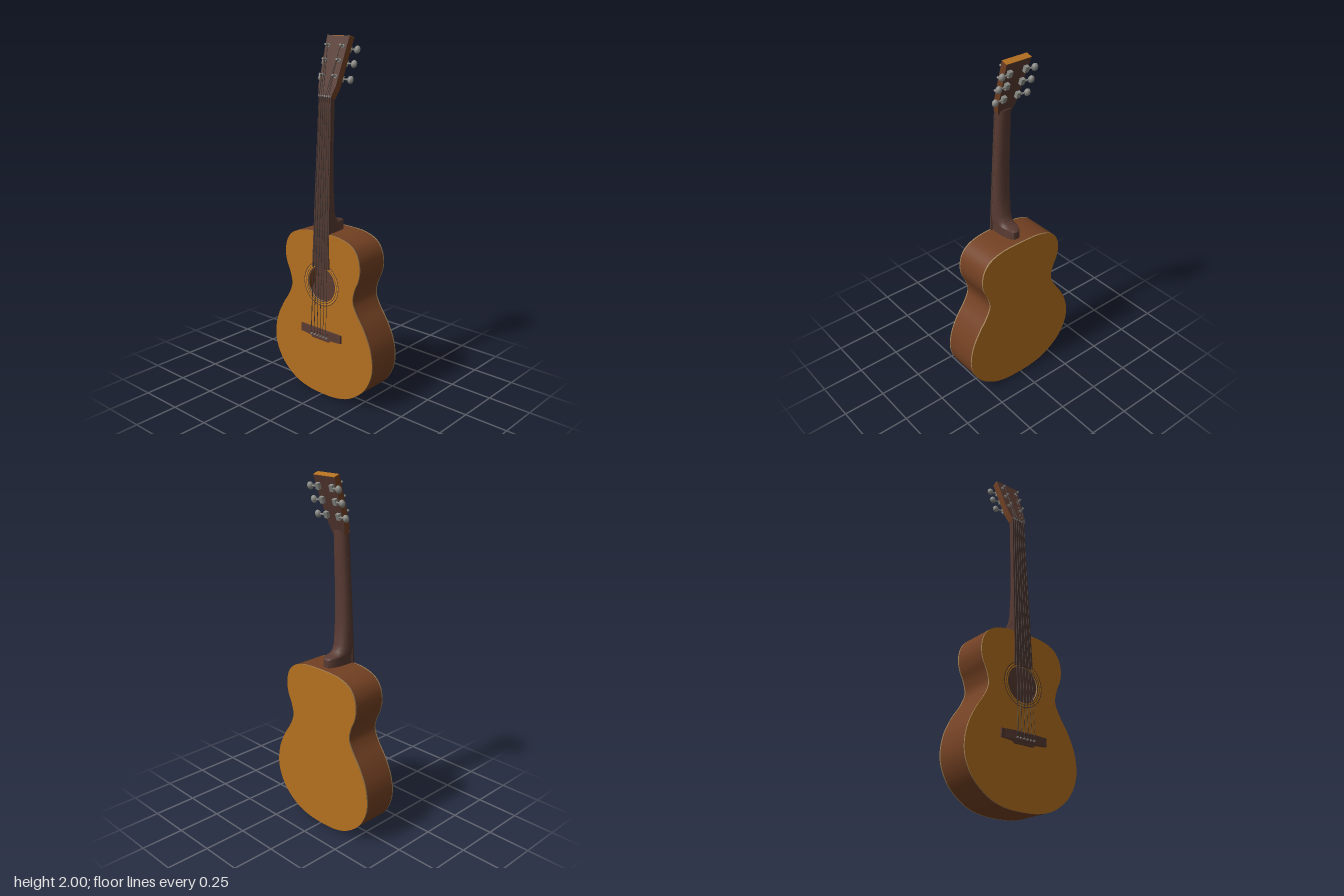
import * as THREE from 'three';
import { toCreasedNormals } from 'three/addons/utils/BufferGeometryUtils.js';

const mat = (name, color) => {
  const m = new THREE.MeshStandardMaterial({ color });
  m.name = name;
  return m;
};

export function createModel() {
  const model = new THREE.Group();
  model.name = 'guitar';

  const topWood = mat('honey wood', 0xb47020);
  const sideWood = mat('brown side wood', 0x724022);
  const neckWood = mat('dark neck wood', 0x583a32);
  const boardWood = mat('fretboard wood', 0x50362f);
  const inlay = mat('rosette orange', 0xc88220);
  const binding = mat('edge binding', 0x9c8058);
  const metal = mat('grey metal', 0x8a8a86);
  const stringMetal = mat('dark string', 0x3c3532);

  const add = (name, geometry, material, parent = model, pos = [0, 0, 0]) => {
    const mesh = new THREE.Mesh(geometry, material);
    mesh.name = name;
    mesh.position.set(...pos);
    parent.add(mesh);
    return mesh;
  };

  // Thin rod between two points
  const rod = (name, a, b, r, material, parent = model, sides = 6) => {
    const p = new THREE.Vector3(...a), q = new THREE.Vector3(...b);
    const dir = q.clone().sub(p);
    const mesh = add(name, new THREE.CylinderGeometry(r, r, dir.length(), sides), material, parent);
    mesh.position.copy(p).add(q).multiplyScalar(0.5);
    mesh.quaternion.setFromUnitVectors(new THREE.Vector3(0, 1, 0), dir.normalize());
    return mesh;
  };

  // Body outline: right half as a smooth curve, then mirrored
  const toPoints = (list) => list.map(([x, y]) => new THREE.Vector2(x, y));
  const half = toPoints([
    [0, 0.002], [0.1, 0.008], [0.2, 0.037], [0.295, 0.107], [0.348, 0.193], [0.364, 0.28],
    [0.347, 0.38], [0.302, 0.475], [0.252, 0.55], [0.224, 0.618], [0.236, 0.685],
    [0.262, 0.745], [0.272, 0.81], [0.255, 0.88], [0.208, 0.93], [0.12, 0.957], [0, 0.962],
  ]);
  const right = new THREE.SplineCurve(half).getPoints(64);
  const left = right.slice(1, -1).reverse().map((p) => new THREE.Vector2(-p.x, p.y));
  const outline = (s = 1) => new THREE.Shape([...right, ...left].map(
    (p) => new THREE.Vector2(p.x * s, 0.45 + (p.y - 0.45) * s)));
  const slab = (shape, z0, z1) => {
    const g = new THREE.ExtrudeGeometry(shape, { depth: z1 - z0, bevelEnabled: false, curveSegments: 40 });
    return toCreasedNormals(g.translate(0, 0, z0), 0.6);
  };

  // Hollow body: side wall, back and top plates with binding on their rims
  const HOLE_Y = 0.667;
  const wall = outline();
  wall.holes.push(outline(0.97));
  add('bodySides', slab(wall, -0.112, 0.083), sideWood);
  add('backPlate', slab(outline(), -0.12, -0.112), [topWood, binding]);
  add('backLining', slab(outline(0.98), -0.112, -0.106), neckWood);
  add('backBrace', new THREE.BoxGeometry(0.44, 0.012, 0.012), neckWood, model, [0, 0.605, -0.1]);
  const topShape = outline();
  topShape.holes.push(new THREE.Path().absarc(0, HOLE_Y, 0.097, 0, Math.PI * 2, true));
  add('topPlate', slab(topShape, 0.083, 0.09), [topWood, binding]);

  // Rosette rings round the sound hole
  [[0.097, 0.102, neckWood], [0.102, 0.109, inlay], [0.109, 0.113, neckWood],
    [0.113, 0.122, inlay], [0.122, 0.127, neckWood]].forEach(([a, b, m]) =>
    add('rosetteRing', new THREE.RingGeometry(a, b, 56), m, model, [0, HOLE_Y, 0.0912]));

  // Fretboard plane: front surface depth and half width by height
  const NUT_Y = 1.695, END_Y = 0.765;
  const along = (y) => (y - END_Y) / (NUT_Y - END_Y);
  const frontZ = (y) => THREE.MathUtils.lerp(0.099, 0.058, along(y));
  const halfW = (y) => THREE.MathUtils.lerp(0.06, 0.043, along(y));

  // Loft of rings stacked in y (clockwise from above), closed at both ends
  const loft = (rings, crease) => {
    const n = rings[0].length, idx = [];
    for (let i = 0; i < rings.length - 1; i++) {
      for (let j = 0; j < n; j++) {
        const a = i * n + j, b = i * n + (j + 1) % n;
        idx.push(a, a + n, b, b, a + n, b + n);
      }
    }
    const last = (rings.length - 1) * n;
    for (let j = 1; j < n - 1; j++) {
      idx.push(0, j, j + 1, last, last + j + 1, last + j);
    }
    const g = new THREE.BufferGeometry();
    g.setAttribute('position', new THREE.Float32BufferAttribute(rings.flat(2), 3));
    g.setIndex(idx);
    return toCreasedNormals(g, crease);
  };

  // Neck and heel: D-shaped sections; [height, back depth, width factor]
  const neckRings = [
    [0.95, -0.08, 0.86], [1.005, -0.08, 0.86], [1.014, -0.07, 0.88], [1.02, -0.03, 0.92],
    [1.035, -0.005, 0.96], [1.07, 0.012, 1], [1.2, 0.023, 1], [1.4, 0.022, 1],
    [1.6, 0.012, 1], [1.7, 0.008, 1],
  ].map(([y, zb, f]) => {
    const zf = frontZ(y) - 0.008, w = halfW(y) * f, ring = [];
    for (let k = 12; k >= 0; k--) {
      const t = (k / 12) * Math.PI, c = Math.cos(t), s = Math.sin(t);
      ring.push([Math.sign(c) * Math.abs(c) ** 0.7 * w, y, zf + (zb - zf) * s ** 0.8]);
    }
    return ring;
  });
  add('neck', loft(neckRings, 0.6), neckWood);

  // Fretboard: tapered slab along the neck
  const boardRings = [END_Y, NUT_Y].map((y) => {
    const z = frontZ(y), w = halfW(y);
    return [[-w, y, z], [-w, y, z - 0.013], [w, y, z - 0.013], [w, y, z]];
  });
  add('fretboard', loft(boardRings, 0.3), boardWood);

  // Frets at equal-tempered spacing
  const scale = NUT_Y - 0.39;
  for (let i = 1; i <= 19; i++) {
    const y = 0.39 + scale / 2 ** (i / 12);
    if (y < END_Y + 0.01) break;
    add('fret', new THREE.BoxGeometry(halfW(y) * 2, 0.003, 0.003), stringMetal, model, [0, y, frontZ(y)]);
  }
  add('nut', new THREE.BoxGeometry(0.086, 0.008, 0.012), metal, model, [0, NUT_Y, 0.056]);

  // Headstock, tilted back from the nut
  const head = new THREE.Group();
  head.name = 'headstock';
  head.position.set(0, NUT_Y, 0.058);
  head.rotation.x = -0.338;
  model.add(head);
  const headShape = new THREE.Shape(toPoints([
    [-0.043, -0.005], [0.043, -0.005], [0.06, 0.055], [0.077, 0.321], [-0.077, 0.321], [-0.06, 0.055],
  ]));
  add('headstockWood', slab(headShape, -0.038, -0.003), [neckWood, sideWood], head);
  add('headstockFace', slab(headShape, -0.003, 0), neckWood, head);
  add('headstockEnd', new THREE.BoxGeometry(0.154, 0.003, 0.036), topWood, head, [0, 0.322, -0.02]);

  // Tuners: post, gear case, shaft and button on both sides
  const TUNER_Y = [0.107, 0.19, 0.266];
  const postX = (y) => 0.04 + y * 0.04;
  for (const side of [-1, 1]) {
    for (const y of TUNER_Y) {
      const x = side * postX(y);
      rod('tunerPost', [x, y, -0.04], [x, y, 0.028], 0.006, metal, head, 12);
      rod('tunerBushing', [x, y, -0.001], [x, y, 0.005], 0.01, metal, head, 12);
      add('gearCase', new THREE.BoxGeometry(0.024, 0.034, 0.02), metal, head, [x, y, -0.047]);
      rod('tunerShaft', [x, y, -0.051], [side * 0.1, y, -0.051], 0.005, metal, head, 8);
      const button = add('tunerButton', new THREE.SphereGeometry(1, 14, 10), metal, head, [side * 0.102, y, -0.053]);
      button.scale.set(0.017, 0.021, 0.016);
    }
  }
  head.updateMatrixWorld(true);

  // Bridge: wide plate with a lower belly and thinned wings
  const bridgeShape = new THREE.Shape(toPoints([
    [-0.147, 0.355], [-0.075, 0.35], [-0.06, 0.338], [0.06, 0.338], [0.075, 0.35],
    [0.147, 0.355], [0.147, 0.402], [-0.147, 0.402],
  ]));
  add('bridgeBase', slab(bridgeShape, 0.088, 0.099), neckWood);
  // Hump profile is drawn in x and depth, then turned to run up the body
  const hump = new THREE.Shape(toPoints([[-0.13, 0.098], [0.13, 0.098], [0.07, 0.107], [-0.07, 0.107]]));
  add('bridgeHump', slab(hump, -0.402, -0.354).rotateX(Math.PI / 2), neckWood);
  add('saddle', new THREE.BoxGeometry(0.125, 0.006, 0.012), neckWood, model, [0, 0.39, 0.107]);

  // Strings with their bridge pins
  for (let i = 0; i < 6; i++) {
    const k = (i - 2.5) / 2.5, r = 0.002 - i * 0.00015;
    const ty = TUNER_Y[i < 3 ? i : 5 - i];
    const pin = [k * 0.055, 0.367, 0.107];
    const saddle = [k * 0.055, 0.39, 0.115];
    const nut = [k * 0.035, NUT_Y, 0.063];
    const postPoint = new THREE.Vector3(Math.sign(k) * (postX(ty) - 0.005), ty, 0.016);
    rod('bridgePin', [pin[0], pin[1], 0.1], [pin[0], pin[1], 0.115], 0.005, metal, model, 10);
    rod('string', pin, saddle, r, stringMetal);
    rod('string', saddle, nut, r, stringMetal);
    rod('headString', nut, head.localToWorld(postPoint).toArray(), r, stringMetal);
  }

  return model;
}
